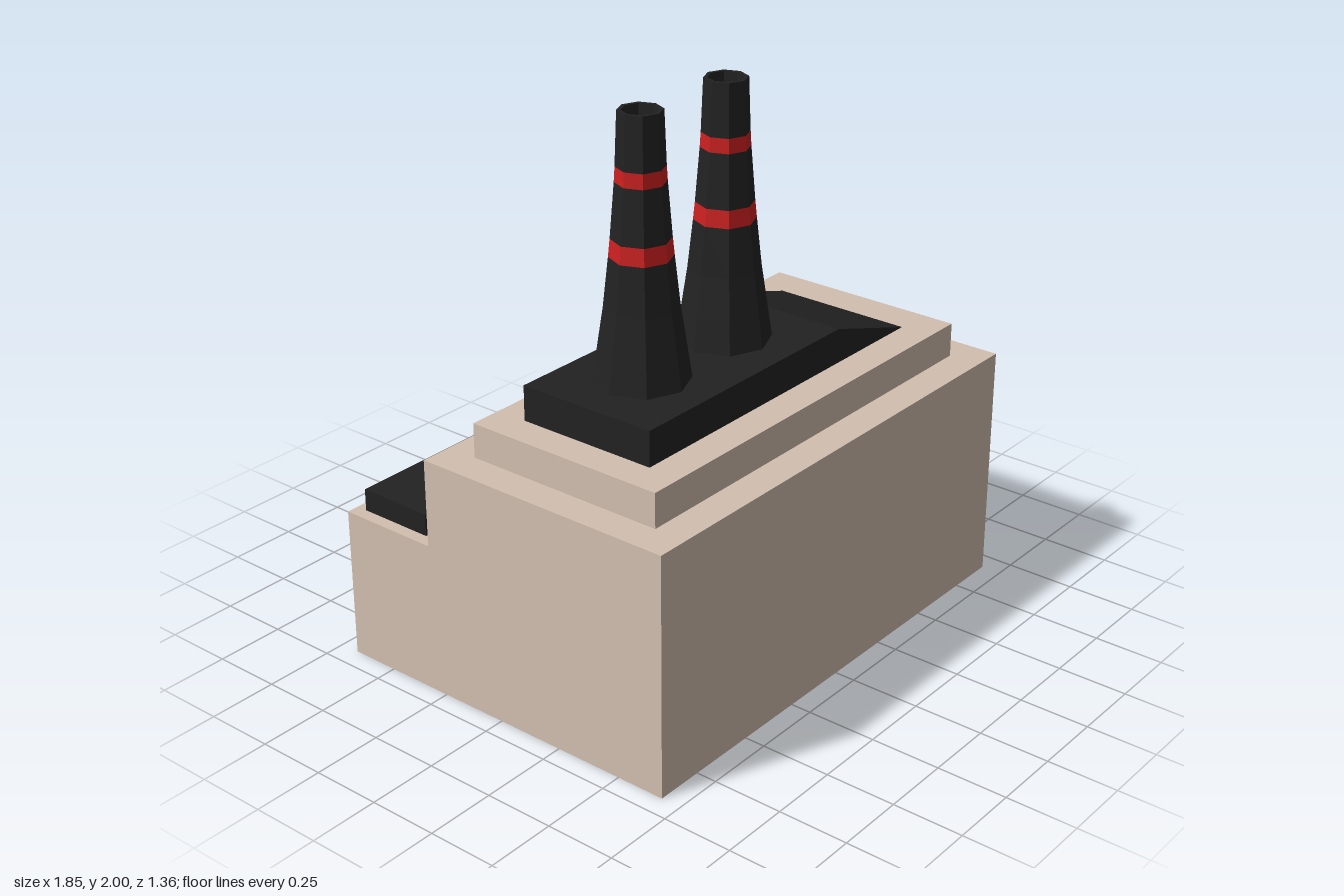
import * as THREE from 'three';

const mat = (color) => new THREE.MeshStandardMaterial({ color, flatShading: true, side: THREE.DoubleSide });

// Building dimensions
const X = 0.925, FRONT = 0.677, BACK = -0.677, STEP = -0.302;
const H = 0.858, ANNEX_H = 0.545, DECK_H = 0.98;
const WIN = 0.13, WIN_Y = 0.72, RECESS = 0.03;

const rect = (x0, y0, x1, y1, Type = THREE.Shape) =>
  new Type([[x0, y0], [x1, y0], [x1, y1], [x0, y1]].map(([x, y]) => new THREE.Vector2(x, y)));

export function createModel() {
  const model = new THREE.Group();
  const wall = mat(0xd2c0b0), dark = mat(0x222222), red = mat(0xcc2020);

  const add = (name, geometry, material, parent = model) => {
    const mesh = new THREE.Mesh(geometry, material);
    mesh.name = name;
    parent.add(mesh);
    return mesh;
  };
  // Flat panel drawn as a shape, then turned and moved into place
  const panel = (name, shape, material, [x, y, z], rx = 0, ry = 0) => {
    const mesh = add(name, new THREE.ShapeGeometry(shape), material);
    mesh.position.set(x, y, z);
    mesh.rotation.set(rx, ry, 0);
    return mesh;
  };
  // Recessed square window: four reveals and a dark pane
  const addWindow = (name, x, z, ry) => {
    const g = new THREE.Group();
    g.name = name;
    const r = WIN / Math.SQRT2;
    const reveal = new THREE.CylinderGeometry(r, r, RECESS, 4, 1, true)
      .rotateY(Math.PI / 4).rotateX(Math.PI / 2).translate(0, 0, -RECESS / 2);
    add('windowReveal', reveal, wall, g);
    add('windowPane', new THREE.PlaneGeometry(WIN, WIN).translate(0, 0, -RECESS), dark, g);
    g.position.set(x, WIN_Y, z);
    g.rotation.y = ry;
    model.add(g);
  };
  const cutWindow = (shape, u) => shape.holes.push(
    rect(u - WIN / 2, WIN_Y - WIN / 2, u + WIN / 2, WIN_Y + WIN / 2, THREE.Path));

  // Stepped side walls, the left one with windows
  for (const s of [1, -1]) {
    const side = new THREE.Shape([[FRONT, 0], [BACK, 0], [BACK, ANNEX_H], [STEP, ANNEX_H], [STEP, H], [FRONT, H]]
      .map(([z, y]) => new THREE.Vector2(-s * z, y)));
    if (s > 0) {
      for (let i = 0; i < 5; i++) {
        const z = 0.585 - i * 0.198;
        cutWindow(side, -z);
        addWindow('sideWindow', X, z, Math.PI / 2);
      }
    }
    panel(s > 0 ? 'leftWall' : 'rightWall', side, wall, [s * X, 0, 0], 0, s * Math.PI / 2);
  }

  // Front wall, rear upper wall with a row of windows, annex wall and annex roof
  panel('frontWall', rect(-X, 0, X, H), wall, [0, 0, FRONT]);
  const rear = rect(-X, ANNEX_H, X, H);
  for (let i = 0; i < 10; i++) {
    const x = (i - 4.5) * 0.184;
    cutWindow(rear, -x);
    addWindow('rearWindow', x, STEP, Math.PI);
  }
  panel('rearUpperWall', rear, wall, [0, 0, STEP], 0, Math.PI);
  panel('annexWall', rect(-X, 0, X, ANNEX_H), wall, [0, 0, BACK], 0, Math.PI);
  panel('annexDeck', rect(-X, -STEP, X, -BACK), wall, [0, ANNEX_H, 0], -Math.PI / 2);

  // Narrow dark slots along the annex wall
  for (let i = 0; i < 9; i++) {
    panel('annexSlot', rect(-0.019, 0.025, 0.019, 0.52), dark, [0.755 - i * 0.196, 0, BACK - 0.002], 0, Math.PI);
  }

  // Main roof ledge, hollow beneath the raised deck
  const DX = 0.81, D0 = -0.188, D1 = 0.56;
  const ledge = rect(-X, -FRONT, X, -STEP);
  ledge.holes.push(rect(-DX, -D1, DX, -D0, THREE.Path));
  panel('roofLedge', ledge, wall, [0, H, 0], -Math.PI / 2);
  const curb = new THREE.CylinderGeometry(Math.SQRT1_2, Math.SQRT1_2, 1, 4, 1, true).rotateY(Math.PI / 4)
    .scale(2 * DX, DECK_H - H, D1 - D0).translate(0, (H + DECK_H) / 2, (D0 + D1) / 2);
  add('deckWalls', curb, wall);
  panel('deckTop', rect(-DX, -D1, DX, -D0), wall, [0, DECK_H, 0], -Math.PI / 2);

  // Dark roof wedges: flat top that slopes down towards the left end
  const wedge = (name, x0, xBreak, x1, y0, y1, z0, z1) => {
    const shape = new THREE.Shape([[x0, y0], [x1, y0], [xBreak, y1], [x0, y1]]
      .map(([x, y]) => new THREE.Vector2(x, y)));
    add(name, new THREE.ExtrudeGeometry(shape, { depth: z1 - z0, bevelEnabled: false }).translate(0, 0, z0), dark);
  };
  wedge('mainRoof', -0.695, 0.29, 0.675, DECK_H + 0.001, 1.105, -0.073, 0.443);
  wedge('annexRoof', -0.882, 0.29, 0.882, ANNEX_H + 0.001, 0.625, -0.635, -0.354);

  // Tapered eight-sided chimneys with two red bands and a hollow mouth
  const sections = [
    ['chimneyBase', dark, [[0.16, 1.105], [0.143, 1.22], [0.122, 1.36], [0.104, 1.525]]],
    ['lowerBand', red, [[0.104, 1.525], [0.098, 1.585]]],
    ['chimneyMiddle', dark, [[0.098, 1.585], [0.083, 1.77]]],
    ['upperBand', red, [[0.083, 1.77], [0.08, 1.82]]],
    ['chimneyTop', dark, [[0.08, 1.82], [0.073, 2], [0.06, 2], [0.058, 1.93], [0, 1.93]]],
  ];
  for (const x of [-0.42, 0]) {
    const chimney = new THREE.Group();
    chimney.name = 'chimney';
    for (const [name, material, points] of sections) {
      add(name, new THREE.LatheGeometry(points.map(([r, y]) => new THREE.Vector2(r, y)), 8), material, chimney);
    }
    chimney.position.set(x, 0, 0.185);
    model.add(chimney);
  }
  return model;
}
